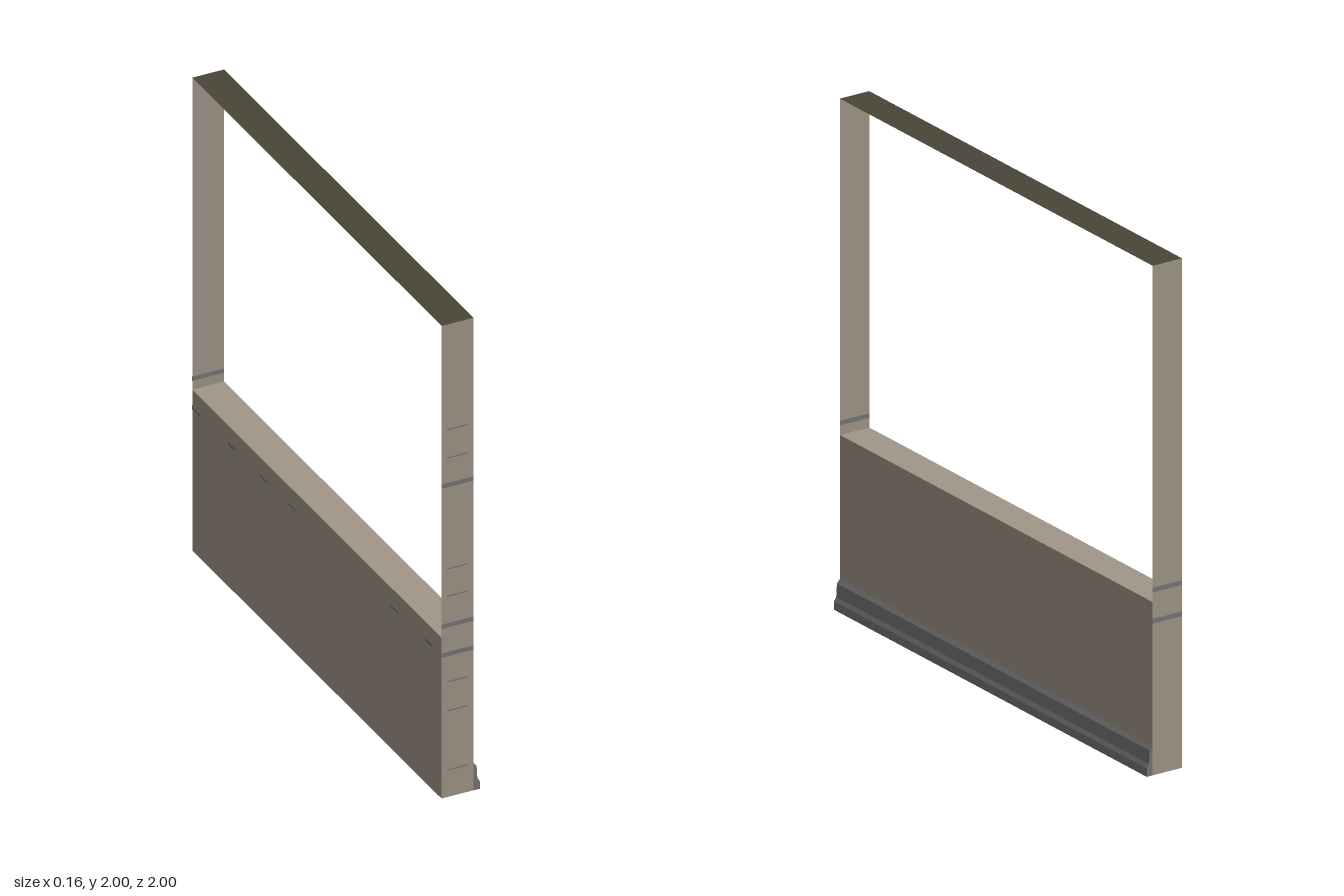
import * as THREE from 'three';

export function createModel() {
  const model = new THREE.Group();
  const mat = (name, color) => {
    const m = new THREE.MeshStandardMaterial({ color, side: THREE.DoubleSide });
    m.name = name;
    return m;
  };
  const tan = mat('tan plaster', 0xa19688);
  const dark = mat('dark brown cap', 0x4a4538);
  const grey = mat('grey trim', 0x767676);

  const X0 = -0.08, X1 = 0.05, W = X1 - X0, CX = (X0 + X1) / 2;
  const SILL = 0.68, TOP = 2, END = 0.999;

  const add = (name, geometry, material, x, y, z) => {
    const mesh = new THREE.Mesh(geometry, material);
    mesh.name = name;
    mesh.position.set(x, y, z);
    model.add(mesh);
    return mesh;
  };

  // Low wall below the opening, with a dark underside
  add('lowerWall', new THREE.BoxGeometry(W, SILL, END * 2),
    [tan, tan, tan, dark, tan, tan], CX, SILL / 2, 0);

  // Paper-thin end posts and top lintel
  for (const s of [1, -1]) {
    const post = add(s > 0 ? 'frontPost' : 'backPost',
      new THREE.PlaneGeometry(W, TOP - SILL), tan, CX, (TOP + SILL) / 2, s * END);
    if (s < 0) post.rotation.y = Math.PI;
  }
  const lintel = add('lintel', new THREE.PlaneGeometry(W, 2), dark, CX, TOP, 0);
  lintel.rotation.x = -Math.PI / 2;

  // Stepped baseboard along one side
  const profile = new THREE.Shape([
    [X1, 0], [0.076, 0], [0.076, 0.033], [0.066, 0.048],
    [0.063, 0.1], [X1, 0.115],
  ].map(([x, y]) => new THREE.Vector2(x, y)));
  add('baseboard', new THREE.ExtrudeGeometry(profile, { depth: 2, bevelEnabled: false }),
    grey, 0, 0, -1);

  // Full-width bands around the posts
  for (const z of [END, -END]) {
    for (const y of [0.605, 0.727]) {
      add('postBand', new THREE.BoxGeometry(W, 0.018, 0.002), grey, CX, y, z);
    }
  }
  add('postBand', new THREE.BoxGeometry(W, 0.018, 0.001), grey, CX, 1.32, END + 0.0005);

  // Fine joint lines on the front end
  for (const y of [0.115, 0.365, 0.488, 0.85, 0.965, 1.435, 1.555]) {
    add('jointLine', new THREE.BoxGeometry(0.085, 0.005, 0.001), grey, CX, y, END + 0.0005);
  }

  // Short marks along the plain side
  for (const z of [-0.96, -0.68, -0.43, -0.2, 0.62, 0.9]) {
    add('wallMark', new THREE.BoxGeometry(0.002, 0.012, 0.06), grey, X0, 0.605, z);
  }
  return model;
}
